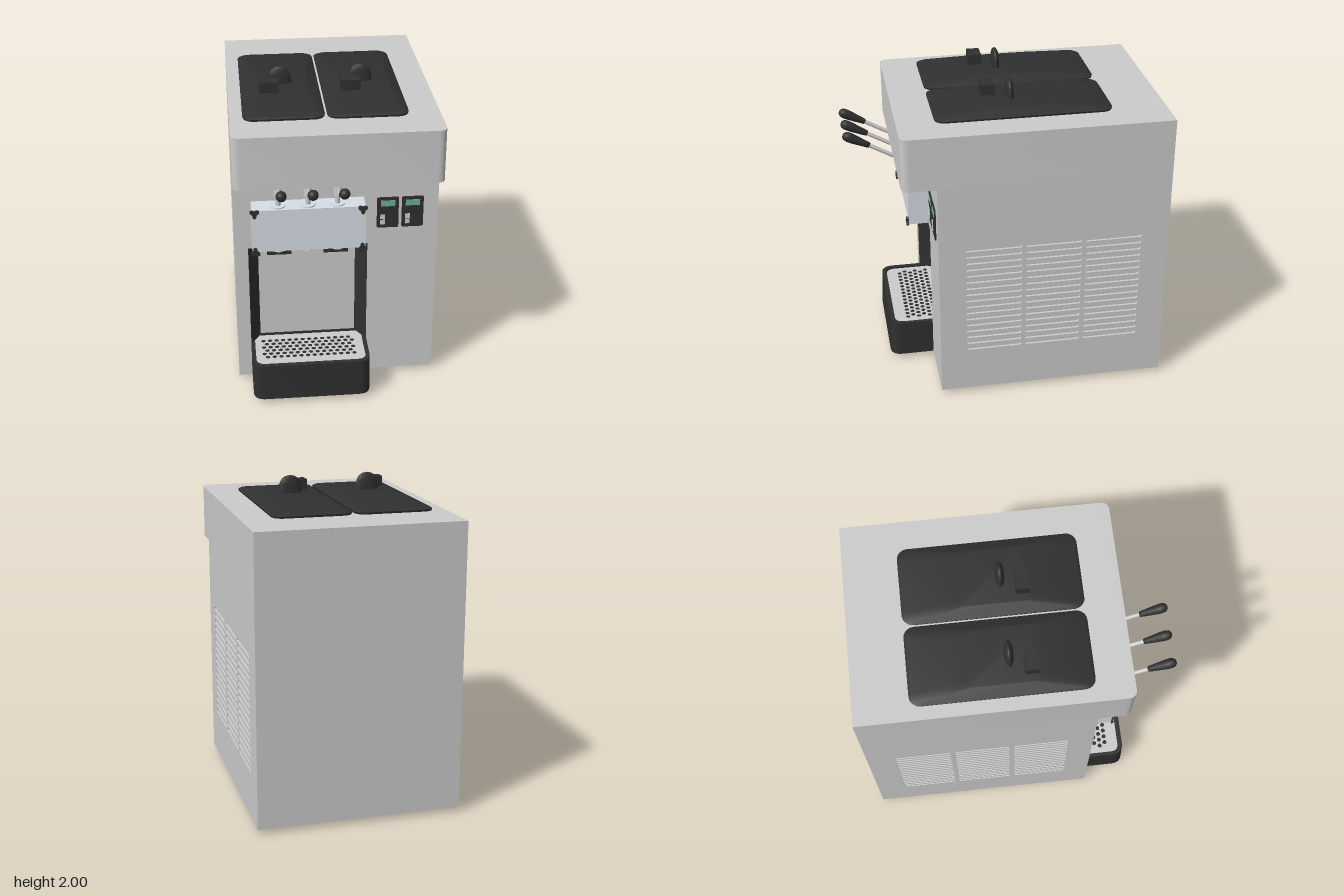
import * as THREE from 'three';
import { toCreasedNormals } from 'three/addons/utils/BufferGeometryUtils.js';

const mat = (color) => new THREE.MeshStandardMaterial({ color });
const grey = mat(0xcccccc), black = mat(0x303030), steel = mat(0xd6dee6), green = mat(0x6fae9a);

export function createModel() {
  const root = new THREE.Group();
  const add = (name, geo, material = grey, x = 0, y = 0, z = 0, parent = root) => {
    const m = new THREE.Mesh(geo, material);
    m.name = name;
    m.position.set(x, y, z);
    parent.add(m);
    return m;
  };
  // Box given by its limits
  const box = (name, x0, x1, y0, y1, z0, z1, material) =>
    add(name, new THREE.BoxGeometry(x1 - x0, y1 - y0, z1 - z0), material,
      (x0 + x1) / 2, (y0 + y1) / 2, (z0 + z1) / 2);
  const extrude = (shape, depth) => toCreasedNormals(
    new THREE.ExtrudeGeometry(shape, { depth, bevelEnabled: false, curveSegments: 8 }), 0.6);
  const rect = (x0, x1, y0, y1) => [[x0, y0], [x1, y0], [x1, y1], [x0, y1]].map((p) => new THREE.Vector2(...p));

  // Plan outline with rounded front corners (shape y is -z), raised along y
  const planShape = (x0, x1, back, front, r, Type = THREE.Shape) => {
    const s = new Type();
    s.moveTo(x0, -back);
    s.lineTo(x0, -front + r);
    s.quadraticCurveTo(x0, -front, x0 + r, -front);
    s.lineTo(x1 - r, -front);
    s.quadraticCurveTo(x1, -front, x1, -front + r);
    s.lineTo(x1, -back);
    s.closePath();
    return s;
  };
  const raise = (shape, y0, y1) => extrude(shape, y1 - y0).rotateX(-Math.PI / 2).translate(0, y0, 0);

  // Loft through closed rings of equal point count, capped at both ends
  const loft = (rings) => {
    const n = rings[0].length, pos = rings.flat(2), idx = [];
    for (let k = 0; k < rings.length - 1; k++) {
      for (let i = 0; i < n; i++) {
        const a = k * n + i, b = k * n + (i + 1) % n;
        idx.push(a, a + n, b, b, a + n, b + n);
      }
    }
    const top = (rings.length - 1) * n;
    for (let i = 1; i < n - 1; i++) idx.push(0, i, i + 1, top, top + i + 1, top + i);
    const g = new THREE.BufferGeometry();
    g.setAttribute('position', new THREE.Float32BufferAttribute(pos, 3));
    g.setIndex(idx);
    return toCreasedNormals(g, 0.4);
  };
  // Horizontal rounded rectangle ring: centre z, half sizes, corner radius
  const ring = (y, cz, hx, hz, r, seg = 5) => {
    const pts = [];
    [[1, 1], [-1, 1], [-1, -1], [1, -1]].forEach(([sx, sz], q) => {
      for (let i = 0; i <= seg; i++) {
        const a = (q + i / seg) * Math.PI / 2;
        pts.push([sx * (hx - r) + r * Math.cos(a), y, cz + sz * (hz - r) + r * Math.sin(a)]);
      }
    });
    return pts;
  };

  // Tapered base
  add('base', loft([ring(0, -0.23, 0.565, 0.59, 0.01, 1), ring(0.035, -0.23, 0.59, 0.61, 0.01, 1)]));

  // Cabinet core, slotted side panels and front panel with serving recess
  box('cabinetCore', -0.625, 0.625, 0.03, 1.5, -0.985, 0.36);
  const side = new THREE.Shape(rect(-0.985, 0.47, 0.03, 1.5));
  const slotH = 0.011;
  for (const z0 of [-0.81, -0.43, -0.05]) {
    for (let row = 0; row < 17; row++) {
      const y = 0.338 + row * 0.0455, a = z0 + slotH, b = z0 + 0.357 - slotH;
      const slot = new THREE.Path();
      slot.absarc(b, y, slotH, -Math.PI / 2, Math.PI / 2);
      slot.absarc(a, y, slotH, Math.PI / 2, Math.PI * 1.5);
      slot.closePath();
      side.holes.push(slot);
    }
  }
  const sideGeo = new THREE.ExtrudeGeometry(side, { depth: 0.015, bevelEnabled: false, curveSegments: 4 })
    .rotateY(-Math.PI / 2);
  add('leftSidePanel', sideGeo, grey, 0.64);
  add('rightSidePanel', sideGeo, grey, -0.625);

  const front = new THREE.Shape(rect(-0.625, 0.625, 0.03, 1.5));
  front.holes.push(new THREE.Path(rect(-0.555, 0.2, 0.04, 0.99)));
  add('frontPanel', extrude(front, 0.11), grey, 0, 0, 0.36);
  add('topHousing', raise(planShape(-0.64, 0.64, -0.985, 0.68, 0.055), 1.5, 1.84));

  // Slanted black cheeks of the recess and outlet blocks on its rear wall
  for (const [outer, inner] of [[-0.553, -0.49], [0.198, 0.132]]) {
    const s = new THREE.Shape([[outer, -0.469], [outer, -0.36], [inner, -0.36]].map((p) => new THREE.Vector2(...p)));
    add('recessCheek', raise(s, 0.27, 0.989), black);
  }
  for (const x of [-0.355, 0.007]) box('outletBlock', x - 0.078, x + 0.078, 0.88, 0.988, 0.35, 0.375, black);

  // Drip tray: rounded bin, rim, perforated plate
  const lean = (g) => {
    const p = g.attributes.position;
    for (let i = 0; i < p.count; i++) if (p.getZ(i) > 0.5) p.setZ(i, p.getZ(i) - 0.04 * p.getY(i));
    return g;
  };
  add('dripTray', lean(raise(planShape(-0.554, 0.198, 0.361, 0.757, 0.08), 0.032, 0.255)), black);
  const rim = planShape(-0.554, 0.198, 0.361, 0.757, 0.08);
  rim.holes.push(planShape(-0.53, 0.174, 0.37, 0.728, 0.06, THREE.Path));
  add('dripTrayRim', lean(raise(rim, 0.255, 0.28)), black);
  add('dripPlate', raise(planShape(-0.53, 0.174, 0.37, 0.715, 0.06), 0.255, 0.266));
  const hole = new THREE.CircleGeometry(0.015, 8).rotateX(-Math.PI / 2);
  for (let r = 0; r < 6; r++) {
    for (let c = 0; c < 14; c++) {
      add('dripHole', hole, black, -0.475 + c * 0.043 + (r % 2) * 0.021, 0.2675, 0.44 + r * 0.037);
    }
  }

  // Dispensing head with notched lower edge
  const head = new THREE.Shape([[-0.53, 1.02], [-0.49, 1.02], [-0.475, 1.035], [0.115, 1.035], [0.13, 1.02],
    [0.17, 1.02], [0.17, 1.32], [-0.53, 1.32]].map((p) => new THREE.Vector2(...p)));
  add('dispensingHead', extrude(head, 0.13), steel, 0, 0, 0.47);

  // Three-lobed fixing knobs
  const lobes = new THREE.Shape(Array.from({ length: 30 }, (_, i) => {
    const a = i / 30 * Math.PI * 2, r = 0.024 + 0.008 * Math.cos(3 * a);
    return new THREE.Vector2(-r * Math.sin(a), r * Math.cos(a));
  }));
  const knobGeo = extrude(lobes, 0.016);
  for (const x of [-0.512, 0.15]) {
    for (const y of [1.035, 1.305]) {
      add('fixingKnob', knobGeo, black, x, y, 0.6).rotation.z = y > 1.2 ? Math.PI : 0;
    }
  }

  // Plungers, nozzles and levers
  const cyl = (r, h) => new THREE.CylinderGeometry(r, r, h, 20);
  const leverPath = new THREE.CurvePath();
  const v = (y, z) => new THREE.Vector3(0, y, z);
  leverPath.add(new THREE.LineCurve3(v(1.52, 0.632), v(1.465, 0.642)));
  leverPath.add(new THREE.QuadraticBezierCurve3(v(1.465, 0.642), v(1.425, 0.648), v(1.448, 0.685)));
  leverPath.add(new THREE.LineCurve3(v(1.448, 0.685), v(1.535, 0.84)));
  const leverGeo = new THREE.TubeGeometry(leverPath, 32, 0.013, 10);
  const gripGeo = new THREE.LatheGeometry([[0, 0], [0.017, 0], [0.02, 0.02], [0.03, 0.11], [0.032, 0.145],
    [0.027, 0.168], [0.015, 0.18], [0, 0.184]].map((p) => new THREE.Vector2(...p)), 18);
  for (const x of [-0.365, -0.182, 0]) {
    const g = new THREE.Group();
    g.name = 'dispenser';
    g.position.x = x;
    root.add(g);
    add('collar', cyl(0.045, 0.01), steel, 0, 1.323, 0.545, g);
    add('plungerRod', cyl(0.016, 0.08), grey, 0, 1.35, 0.545, g);
    add('plunger', cyl(0.024, 0.13), grey, 0, 1.445, 0.545, g);
    add('nozzle', cyl(0.045, 0.03), steel, 0, 1.035, 0.545, g);
    add('lever', leverGeo, grey, 0, 0, 0, g);
    add('leverGrip', gripGeo, black, 0, 1.522, 0.817, g).rotation.x = 1.09;
  }

  // Control panels with screen and two buttons
  for (const x of [0.322, 0.478]) {
    const s = new THREE.Shape();
    s.moveTo(-0.058, -0.105);
    for (const [cx, cy, a] of [[0.058, -0.095, -0.5], [0.058, 0.095, 0], [-0.058, 0.095, 0.5], [-0.058, -0.095, 1]]) {
      s.absarc(cx, cy, 0.01, a * Math.PI, (a + 0.5) * Math.PI);
    }
    add('controlPanel', extrude(s, 0.008), black, x, 1.205, 0.47);
    box('screen', x - 0.045, x + 0.045, 1.25, 1.29, 0.472, 0.481, green);
    for (const y of [1.14, 1.178]) box('button', x - 0.047, x - 0.017, y - 0.015, y + 0.015, 0.472, 0.483, grey);
  }

  // Hopper lids with fin handle and block
  const lidGeo = loft([ring(1.835, -0.1, 0.245, 0.545, 0.065), ring(1.852, -0.1, 0.249, 0.549, 0.065),
    ring(1.86, -0.1, 0.235, 0.535, 0.06), ring(1.889, -0.085, 0.18, 0.23, 0.05)]);
  const finGeo = new THREE.LatheGeometry([[0.078, 0], [0.073, 0.03], [0.069, 0.065], [0.055, 0.095],
    [0.03, 0.112], [0, 0.118]].map((p) => new THREE.Vector2(...p)), 28).scale(1, 1, 0.37);
  for (const x of [-0.311, 0.199]) {
    add('hopperLid', lidGeo, black, x);
    add('lidHandle', finGeo, black, x, 1.882, -0.043);
    box('lidBlock', x - 0.133, x - 0.013, 1.87, 1.955, 0.042, 0.125, black);
  }
  return root;
}
